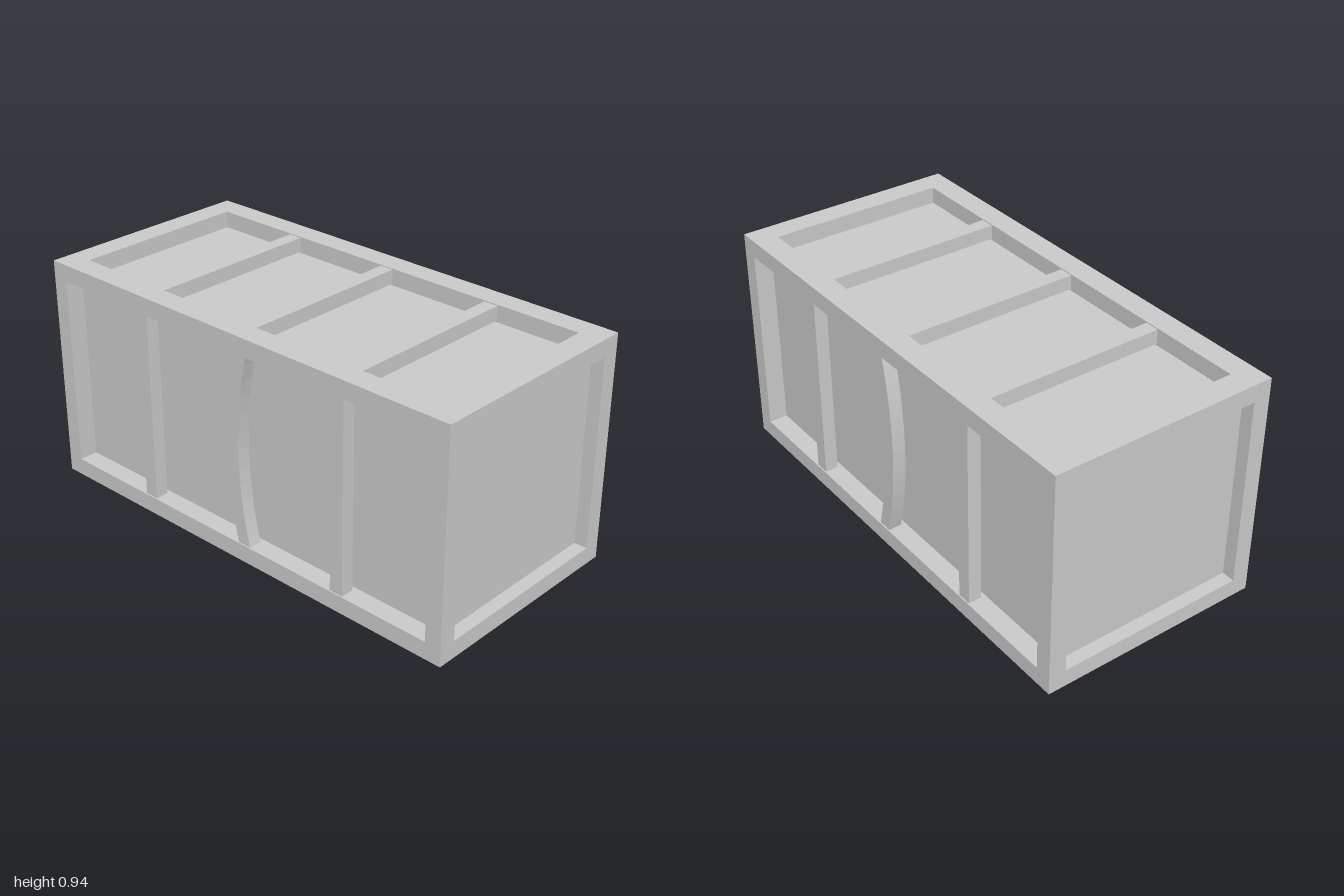
import * as THREE from 'three';

const W = 0.945, H = 0.945, L = 2;
const material = new THREE.MeshStandardMaterial({ color: 0xcccccc, flatShading: true, side: THREE.DoubleSide });

function mesh(name, geometry) {
  const m = new THREE.Mesh(geometry, material);
  m.name = name;
  return m;
}

// One wall facing +z: a flat border with an opening, and a tray sunk into it
function recessedWall(name, w, h, openW, openH, depth) {
  const wall = new THREE.Group();
  wall.name = name;

  const border = new THREE.Shape();
  border.moveTo(-w / 2, -h / 2).lineTo(w / 2, -h / 2).lineTo(w / 2, h / 2).lineTo(-w / 2, h / 2).closePath();
  const opening = new THREE.Path();
  opening.moveTo(-openW / 2, -openH / 2).lineTo(-openW / 2, openH / 2).lineTo(openW / 2, openH / 2).lineTo(openW / 2, -openH / 2).closePath();
  border.holes.push(opening);
  wall.add(mesh(name + 'Border', new THREE.ShapeGeometry(border)));

  // Box without its outer (+z) face
  const tray = new THREE.BoxGeometry(openW, openH, depth);
  const index = Array.from(tray.index.array);
  index.splice(24, 6);
  tray.setIndex(index);
  tray.clearGroups();
  tray.translate(0, 0, -depth / 2);
  wall.add(mesh(name + 'Panel', tray));
  return wall;
}

// Upright bar with a bowed outline in the z-y plane, extruded across x
function bowedRib(thickness, width, y0, y1, bow) {
  const steps = 12, front = [], back = [];
  for (let i = 0; i <= steps; i++) {
    const t = (i / steps) * 2 - 1;
    const y = (y0 + y1) / 2 + (t * (y1 - y0)) / 2;
    const z = -0.01 + bow * t * t;
    front.push(new THREE.Vector2(z + width / 2, y));
    back.unshift(new THREE.Vector2(z - width / 2, y));
  }
  const g = new THREE.ExtrudeGeometry(new THREE.Shape([...front, ...back]), { depth: thickness, bevelEnabled: false });
  g.translate(0, 0, -thickness / 2);
  return g.rotateY(-Math.PI / 2);
}

export function createModel() {
  const model = new THREE.Group();
  model.name = 'crate';

  // Front and back walls
  for (const s of [1, -1]) {
    const end = recessedWall(s > 0 ? 'frontWall' : 'backWall', W, H, 0.8, 0.8, 0.055);
    end.position.set(0, H / 2, (s * L) / 2);
    if (s < 0) end.rotation.y = Math.PI;
    model.add(end);
  }

  // Long side walls with two straight ribs and a bowed one in the middle
  const ribY0 = 0.04, ribY1 = 0.905, ribDepth = 0.055, ribWidth = 0.06;
  for (const s of [1, -1]) {
    const side = s > 0 ? 'left' : 'right';
    const wall = recessedWall(side + 'Wall', L, H, 1.86, 0.8, 0.08);
    wall.position.set((s * W) / 2, H / 2, 0);
    wall.rotation.y = (s * Math.PI) / 2;
    model.add(wall);

    const ribX = s * 0.4395;
    for (const z of [0.51, -0.49]) {
      const rib = mesh(side + 'Rib', new THREE.BoxGeometry(ribDepth, ribY1 - ribY0, ribWidth));
      rib.position.set(ribX, (ribY0 + ribY1) / 2, z);
      model.add(rib);
    }
    const bowed = mesh(side + 'BowedRib', bowedRib(ribDepth, ribWidth, ribY0, ribY1, 0.058));
    bowed.position.x = ribX;
    model.add(bowed);
  }

  // Lid with three cross bars; the underside stays open
  const lid = recessedWall('lid', W, L, 0.75, 1.8, 0.07);
  lid.position.y = H;
  lid.rotation.x = -Math.PI / 2;
  model.add(lid);
  for (const z of [-0.495, 0, 0.51]) {
    const bar = mesh('lidBar', new THREE.BoxGeometry(0.8, 0.06, 0.06));
    bar.position.set(0, H - 0.034, z);
    model.add(bar);
  }
  return model;
}
